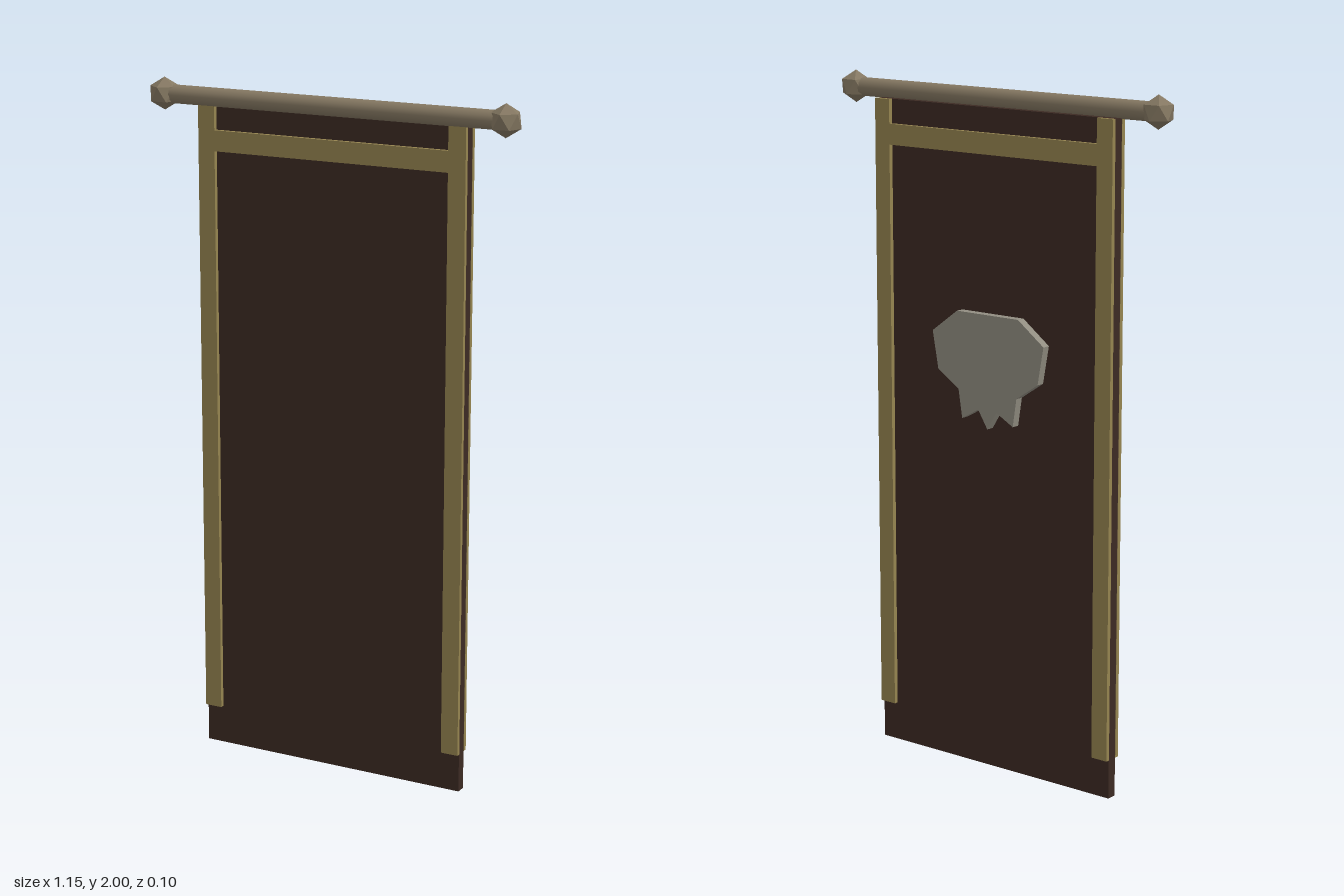
import * as THREE from 'three';

const material = (color, extra = {}) => new THREE.MeshStandardMaterial({ color, ...extra });

export function createModel() {
  const group = new THREE.Group();
  const clothMat = material(0x3c2a23);
  const trimMat = material(0x958450);
  const woodMat = material(0x857862);
  const finialMat = material(0x857862, { flatShading: true });
  const emblemMat = material(0x918d81);

  const add = (name, geometry, mat, x, y, z) => {
    const mesh = new THREE.Mesh(geometry, mat);
    mesh.name = name;
    mesh.position.set(x, y, z);
    group.add(mesh);
    return mesh;
  };

  // Hanging cloth panel
  const clothZ = -0.015, clothDepth = 0.03, trimDepth = 0.0125;
  add('cloth', new THREE.BoxGeometry(0.84, 1.93, clothDepth), clothMat, 0, 0.965, clothZ);

  // Trim strips on both faces of the cloth
  for (const face of [1, -1]) {
    const z = clothZ + face * (clothDepth + trimDepth) / 2;
    const side = face > 0 ? 'front' : 'back';
    for (const s of [1, -1]) {
      add(side + (s > 0 ? 'LeftTrim' : 'RightTrim'),
        new THREE.BoxGeometry(0.053, 1.815, trimDepth), trimMat, s * 0.3945, 1.0225, z);
    }
    add(side + 'CrossTrim', new THREE.BoxGeometry(0.736, 0.06, trimDepth), trimMat, 0, 1.83, z);
  }

  // Horizontal pole
  const poleY = 1.953, poleZ = 0.006;
  const pole = new THREE.CylinderGeometry(0.027, 0.027, 1.06, 12).rotateZ(Math.PI / 2);
  add('pole', pole, woodMat, 0, poleY, poleZ);

  // Faceted finials, one corner pointing straight up
  const finial = new THREE.IcosahedronGeometry(0.047, 0)
    .rotateZ(Math.atan(2 / (1 + Math.sqrt(5))))
    .rotateY(Math.PI / 2);
  for (const s of [1, -1]) {
    add(s > 0 ? 'leftFinial' : 'rightFinial', finial, finialMat, s * 0.535, poleY, poleZ);
  }

  // Raised emblem on the back: half outline, mirrored
  const half = [[0.11, 1.35], [0.2, 1.283], [0.18, 1.173], [0.105, 1.123], [0.092, 1.04], [0.033, 1.073]];
  const mirrored = half.map(([x, y]) => [-x, y]).reverse();
  const outline = [...half, [0, 1.02], ...mirrored].map(([x, y]) => new THREE.Vector2(x, y));
  const emblem = new THREE.ExtrudeGeometry(new THREE.Shape(outline), { depth: 0.025, bevelEnabled: false });
  add('emblem', emblem, emblemMat, 0, 0, -0.055);

  return group;
}
